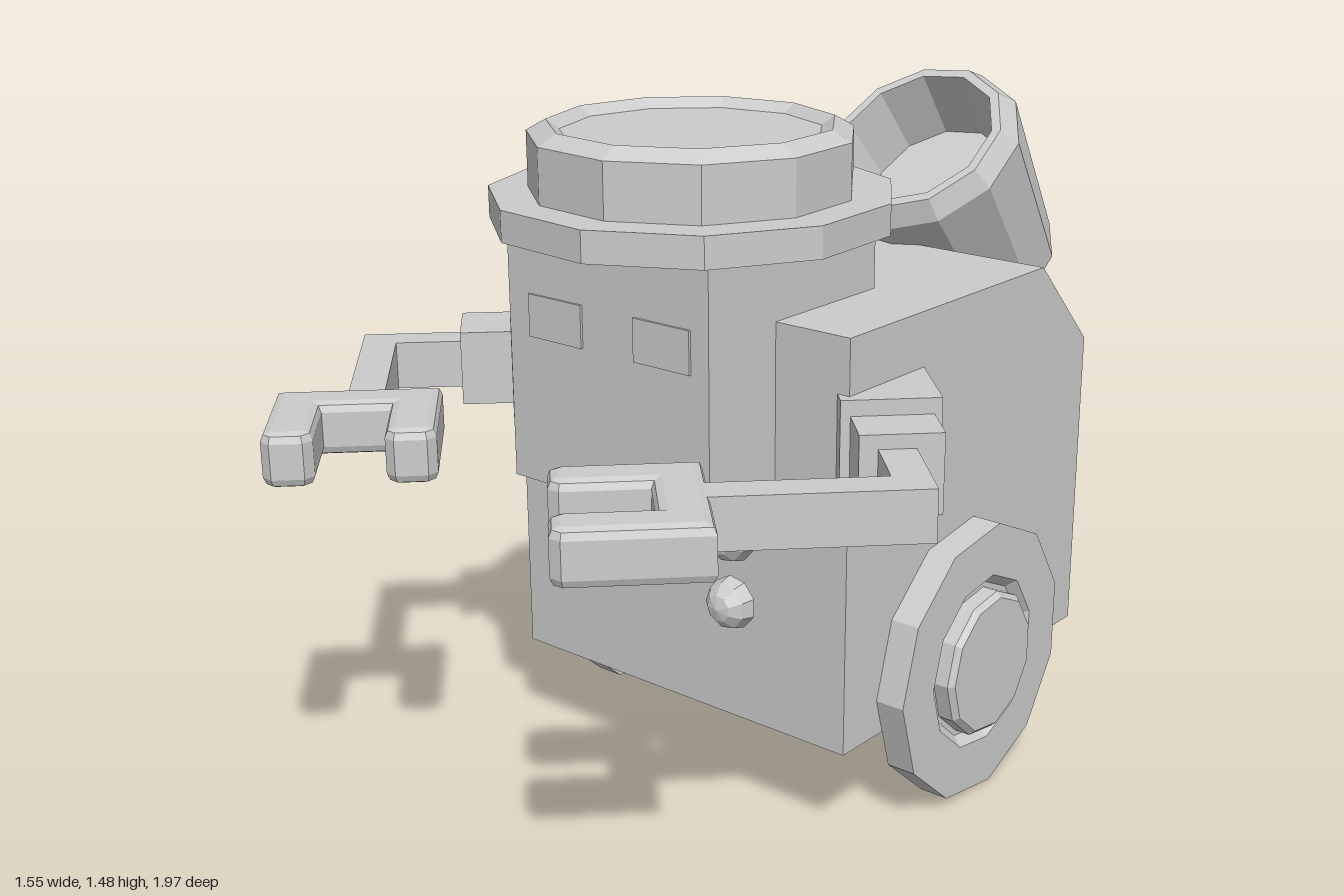
import * as THREE from 'three';

const SIDES = 11;
const grey = new THREE.MeshStandardMaterial({ color: 0xcccccc, flatShading: true });
const greyOpen = new THREE.MeshStandardMaterial({ color: 0xcccccc, flatShading: true, side: THREE.DoubleSide });

function add(parent, name, geometry, x = 0, y = 0, z = 0, material = grey) {
  const mesh = new THREE.Mesh(geometry, material);
  mesh.name = name;
  mesh.position.set(x, y, z);
  parent.add(mesh);
  return mesh;
}

// Profile points are [radius, height], listed from the bottom up
function lathe(points, phiStart = 0) {
  return new THREE.LatheGeometry(points.map(p => new THREE.Vector2(...p)), SIDES, phiStart);
}

// Outline in plan [x, z], raised from y0 to y1, with an optional rounded edge
function plan(points, y0, y1, bevel = 0) {
  const shape = new THREE.Shape(points.map(([x, z]) => new THREE.Vector2(x, -z)));
  const geometry = new THREE.ExtrudeGeometry(shape, {
    depth: y1 - y0 - 2 * bevel, bevelEnabled: bevel > 0, bevelSize: bevel,
    bevelThickness: bevel, bevelOffset: -bevel, bevelSegments: 2, steps: 1,
  });
  return geometry.rotateX(-Math.PI / 2).translate(0, y0 + bevel, 0);
}

// Wheel with a recessed ring around a raised hub, and the arm on the same side
function makeSide(name) {
  const side = new THREE.Group();
  side.name = name;

  const wheel = lathe([
    [0, 0], [0.305, 0], [0.305, 0.067], [0.192, 0.067], [0.172, 0.045],
    [0.16, 0.045], [0.16, 0.08], [0.148, 0.092], [0, 0.092],
  ]).rotateZ(-Math.PI / 2);
  add(side, 'wheel', wheel, 0.45, 0.315, -0.19).scale.y = 1.025;

  // Shoulder blocks point diagonally outward and forward
  const shoulder = add(side, 'shoulder', new THREE.BoxGeometry(0.2, 0.225, 0.23), 0.44, 0.9, 0.108);
  shoulder.rotation.y = Math.PI / 4;
  const cuff = add(side, 'shoulderCuff', new THREE.BoxGeometry(0.165, 0.165, 0.16), 0.545, 0.897, 0.21);
  cuff.rotation.y = Math.PI / 4;

  // Bent arm
  add(side, 'arm', plan([
    [0.57, 0.195], [0.775, 0.4], [0.47, 0.705], [0.42, 0.65], [0.67, 0.4], [0.52, 0.25],
  ], 0.845, 0.95));

  // Claw: u runs along the back bar, v along the two fingers
  const claw = [
    [0.641, 0.143], [0.978, 0.143], [0.978, 0.41], [0.96, 0.43], [0.896, 0.43], [0.878, 0.41],
    [0.878, 0.243], [0.741, 0.243], [0.741, 0.41], [0.723, 0.43], [0.659, 0.43], [0.641, 0.41],
  ].map(([u, v]) => [(u - v) * Math.SQRT1_2, (u + v) * Math.SQRT1_2]);
  add(side, 'claw', plan(claw, 0.842, 0.955, 0.02));
  return side;
}

export function createModel() {
  const model = new THREE.Group();
  model.name = 'robot';

  // Body with a sloped upper back edge, extruded sideways; the outline is [-z, y]
  const outline = [[-0.23, 0.235], [0.67, 0.235], [0.67, 0.928], [0.475, 1.13], [-0.23, 1.13]];
  const body = new THREE.ExtrudeGeometry(
    new THREE.Shape(outline.map(p => new THREE.Vector2(...p))), { depth: 0.9, bevelEnabled: false });
  add(model, 'body', body.rotateY(Math.PI / 2).translate(-0.45, 0, 0));

  // Head block and faint eye plates
  add(model, 'head', new THREE.BoxGeometry(0.535, 0.55, 0.535), 0, 1.02, 0.167);
  for (const x of [-0.135, 0.15]) {
    add(model, 'eyePlate', new THREE.BoxGeometry(0.145, 0.09, 0.01), x, 1.105, 0.435);
  }

  // Round cap with a wide brim and a shallow recessed top
  add(model, 'cap', lathe([
    [0, 1.285], [0.42, 1.285], [0.42, 1.35], [0.338, 1.35], [0.338, 1.465],
    [0.297, 1.488], [0.27, 1.468], [0, 1.468],
  ], 0.19), 0, 0, 0.167);

  // Tilted bucket on the back, open toward the front
  const bucket = add(model, 'bucket', lathe([
    [0, 0], [0.195, 0], [0.24, 0.4], [0.212, 0.447], [0.19, 0.447], [0.168, 0.28], [0, 0.28],
  ], 0.1), 0.045, 1.013, -0.842, greyOpen);
  bucket.rotation.x = 0.693;

  // Domed buttons on the chest
  for (const x of [-0.18, 0.187]) {
    for (const y of [0.67, 0.52]) {
      const dome = new THREE.SphereGeometry(0.058, 9, 3, 0, Math.PI * 2, 0, Math.PI / 2);
      add(model, 'button', dome.rotateX(Math.PI / 2), x, y, 0.265, greyOpen);
    }
  }

  // Wheel and arm on both sides
  const left = makeSide('leftSide');
  const right = makeSide('rightSide');
  right.scale.x = -1;
  model.add(left, right);
  return model;
}
